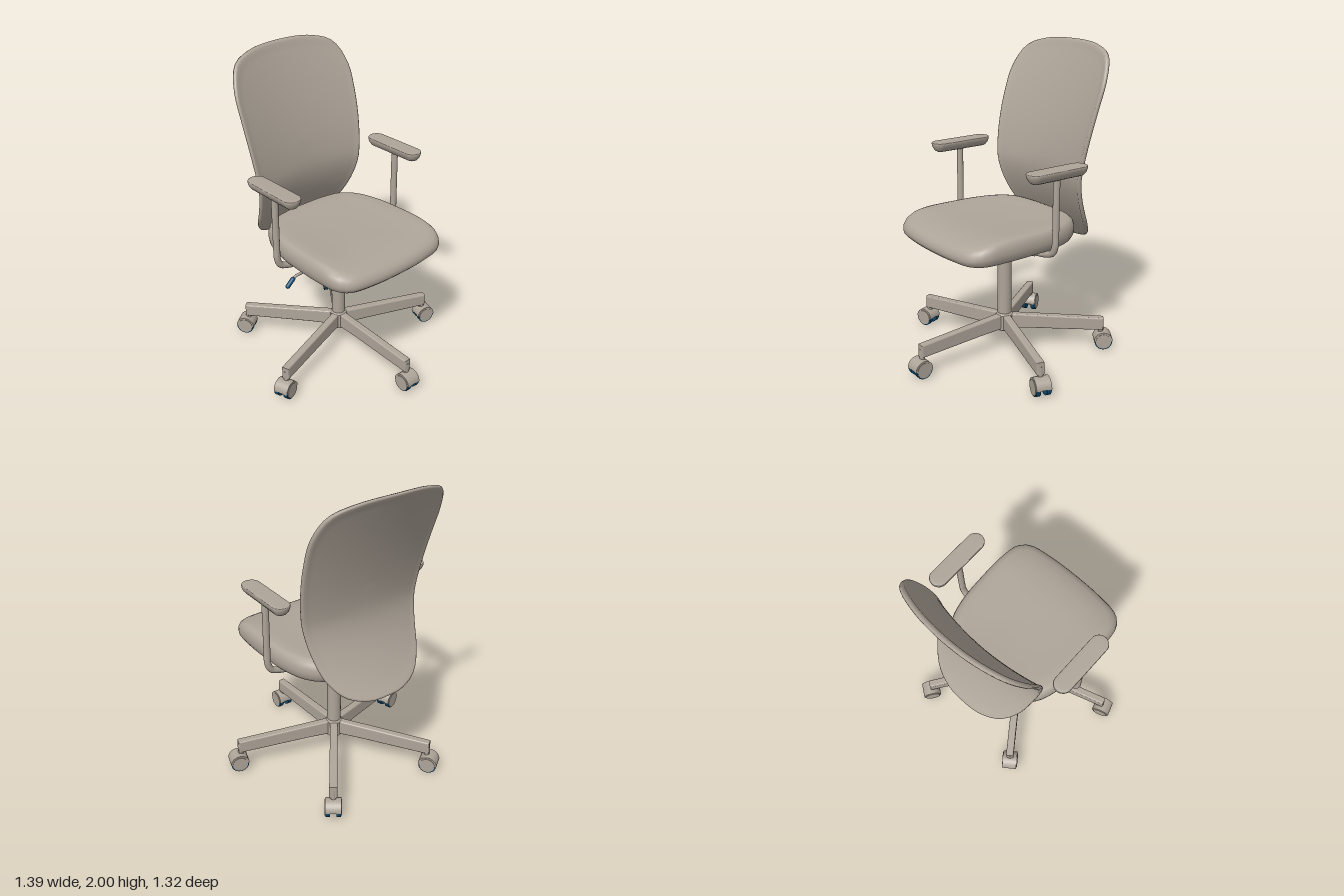
import * as THREE from 'three';

const body = new THREE.MeshStandardMaterial({ color: 0xaea599 });
body.name = 'warm grey';
const accent = new THREE.MeshStandardMaterial({ color: 0x0e4a72 });
accent.name = 'deep blue';

const V = (x, y, z) => new THREE.Vector3(x, y, z);

function add(parent, name, geometry, material = body, x = 0, y = 0, z = 0) {
  const mesh = new THREE.Mesh(geometry, material);
  mesh.name = name;
  mesh.position.set(x, y, z);
  parent.add(mesh);
  return mesh;
}

// Closed smooth outline from its right half, listed from lowest to highest b
function outline(half, n = 72) {
  const mirrored = half.filter(p => p[0] > 0).reverse().map(([a, b]) => [-a, b]);
  const pts = [...half, ...mirrored].map(([a, b]) => V(a, b, 0));
  return new THREE.CatmullRomCurve3(pts, true).getSpacedPoints(n).slice(0, n);
}

// Cushion-like solid: scaled copies of an outline stacked as [scale, height] layers
function loft(line, layers, centreB, map) {
  const n = line.length, pos = [], idx = [];
  layers.forEach(([s, c]) => line.forEach(p =>
    pos.push(...map(p.x * s, centreB + (p.y - centreB) * s, c))));
  for (let i = 0; i < layers.length - 1; i++) {
    for (let j = 0; j < n; j++) {
      const k = (j + 1) % n, a = i * n + j, b = i * n + k;
      idx.push(a, b, b + n, a, b + n, a + n);
    }
  }
  const g = new THREE.BufferGeometry();
  g.setAttribute('position', new THREE.Float32BufferAttribute(pos, 3));
  g.setIndex(idx);
  g.computeVertexNormals();
  return g;
}

const tube = (points, r, n = 40) =>
  new THREE.TubeGeometry(new THREE.CatmullRomCurve3(points), n, r, 14);

// Side profile in (u, y), extruded to a width centred on 0
function slab(points, width, bevel) {
  const shape = new THREE.Shape(points.map(p => new THREE.Vector2(...p)));
  return new THREE.ExtrudeGeometry(shape, {
    depth: width - 2 * bevel, bevelEnabled: true, bevelSize: bevel, bevelOffset: -bevel,
    bevelThickness: bevel, bevelSegments: 3,
  }).translate(0, 0, -width / 2 + bevel);
}

function makeBackrest(g) {
  const line = outline([[0, 0.72], [0.13, 0.727], [0.26, 0.775], [0.34, 0.87], [0.38, 1.0],
    [0.425, 1.3], [0.45, 1.62], [0.445, 1.8], [0.385, 1.93], [0.25, 1.983], [0, 2.0]], 88);
  // Leans back above the lumbar, flares back below it, sides wrap forward
  const depth = (x, y) => {
    const d = y - 1.2;
    const curve = d > 0 ? 0.342 * d ** 1.5 : 0.766 * (-d) ** 1.7;
    return -0.365 - curve + 0.05 * (x / 0.42) ** 2;
  };
  const face = [0, 0.1, 0.2, 0.3, 0.4, 0.5, 0.6, 0.7, 0.8, 0.88, 0.94];
  const layers = [...face.map(s => [s, -0.012]), [0.975, -0.017], [0.993, -0.011], [1, 0],
    [0.993, 0.011], [0.975, 0.017], ...face.slice().reverse().map(s => [s, 0.012])];
  add(g, 'backrest', loft(line, layers, 1.4, (x, y, c) => [x, y, depth(x, y) + c]));
}

function makeSeat(g) {
  const line = outline([[0, -0.515], [0.22, -0.505], [0.37, -0.475], [0.43, -0.41], [0.45, -0.27],
    [0.448, -0.05], [0.432, 0.13], [0.385, 0.28], [0.30, 0.375], [0.15, 0.41], [0, 0.415]]);
  // The cushion thins towards its front lip
  const map = (a, b, c) => {
    const t = Math.max(0, (-b - 0.22) / 0.3);
    return [a, 0.785 + (c - 0.785) * (1 - 0.42 * t * t), -b];
  };
  const layers = [[0, 0.797], [0.5, 0.797], [0.8, 0.797], [0.91, 0.8], [0.96, 0.81], [0.99, 0.835],
    [1, 0.865], [0.995, 0.895], [0.975, 0.922], [0.94, 0.938], [0.88, 0.946], [0.75, 0.943],
    [0.6, 0.938], [0.4, 0.934], [0.2, 0.932], [0, 0.932]];
  add(g, 'seatCushion', loft(line, layers, -0.05, map));
  add(g, 'seatPan', loft(line, [[0, 0.782], [0.66, 0.782], [0.7, 0.788], [0.71, 0.8]], -0.05,
    (a, b, c) => [a, c, -b]));
}

function makeMechanism(g) {
  const housing = slab([[0.24, 0.79], [0.24, 0.735], [0.17, 0.685], [0.0, 0.662], [-0.12, 0.675],
    [-0.16, 0.72], [-0.16, 0.79]], 0.23, 0.02);
  add(g, 'tiltHousing', housing.rotateY(-Math.PI / 2));
  const wing = slab([[-0.25, 0.79], [-0.24, 0.772], [-0.11, 0.725], [0.11, 0.725], [0.24, 0.772],
    [0.25, 0.79]], 0.22, 0.01);
  add(g, 'mountingWing', wing, body, 0, 0, 0.02);
  const tongue = slab([[-0.1, 0.77], [-0.24, 0.76], [-0.305, 0.745], [-0.31, 0.715],
    [-0.24, 0.695], [-0.1, 0.69]], 0.13, 0.012);
  add(g, 'rearTongue', tongue.rotateY(-Math.PI / 2));
  // Twin arms carrying the backrest
  for (const x of [-0.04, 0.04]) {
    add(g, 'backSupport', tube([V(x, 0.73, -0.25), V(x, 0.72, -0.32), V(x, 0.76, -0.38),
      V(x, 0.81, -0.43), V(x, 0.82, -0.5)], 0.016));
  }
  const clamp = add(g, 'backClamp', new THREE.BoxGeometry(0.2, 0.025, 0.1), body, 0, 0.79, -0.5);
  clamp.rotation.x = -0.75;
  // Height lever on the right-hand side
  add(g, 'leverRod', tube([V(-0.08, 0.7, -0.03), V(-0.2, 0.7, -0.03), V(-0.36, 0.7, -0.03),
    V(-0.385, 0.695, -0.03), V(-0.41, 0.675, -0.03)], 0.009));
  const grip = add(g, 'leverGrip', new THREE.CapsuleGeometry(0.015, 0.055, 6, 12), accent,
    -0.42, 0.667, -0.03);
  grip.rotation.z = -0.86;
}

function makeArm(g, side) {
  const arm = new THREE.Group();
  arm.name = side > 0 ? 'leftArm' : 'rightArm';
  // Stadium-shaped pad with tapered underside
  const pts = [];
  for (let i = 0; i < 48; i++) {
    const a = (i / 48) * Math.PI * 2, s = Math.sin(a);
    pts.push(V(0.058 * Math.cos(a), 0.058 * s + (Math.abs(s) < 1e-6 ? 0 : 0.16 * Math.sign(s)), 0));
  }
  // Inset by moving towards the pad's long axis so the ends stay round
  const layers = [[0, 1.27], [0.4, 1.27], [0.62, 1.277], [0.86, 1.295], [0.97, 1.312], [1, 1.322],
    [0.99, 1.328], [0.95, 1.331], [0.6, 1.332], [0, 1.332]];
  const pad = loft(pts, layers, 0, (a, b, c) => [a, c, -b]);
  const p = pad.attributes.position;
  const scaleOf = new Map(layers.map(([s], i) => [i, s]));
  for (let i = 0; i < p.count; i++) {
    const s = scaleOf.get(Math.floor(i / pts.length)), q = pts[i % pts.length];
    p.setZ(i, -(q.y - Math.sign(q.y) * 0.058 * (1 - s) * Math.abs(Math.sin((i % 48) / 48 * Math.PI * 2))));
  }
  pad.computeVertexNormals();
  add(arm, 'armPad', pad, body, side * 0.493, 0, -0.06);
  const path = [[0.495, 1.28], [0.495, 1.1], [0.495, 0.93], [0.493, 0.86], [0.47, 0.81], [0.42, 0.788],
    [0.36, 0.776], [0.26, 0.766]];
  add(arm, 'armPost', tube(path.map(([x, y]) => V(side * x, y, -0.055)), 0.021, 64));
  const bracket = add(arm, 'armBracket', new THREE.BoxGeometry(0.12, 0.036, 0.08), body,
    side * 0.29, 0.772, -0.055);
  bracket.rotation.z = side * 0.14;
  g.add(arm);
}

function makeCaster() {
  const c = new THREE.Group();
  c.name = 'caster';
  const disc = (r, w, ...arc) => new THREE.CylinderGeometry(r, r, w, 28, 1, false, ...arc).rotateX(Math.PI / 2);
  add(c, 'casterHood', disc(0.061, 0.098, Math.PI / 2, Math.PI));
  add(c, 'casterAxle', disc(0.03, 0.06));
  for (const s of [-1, 1]) {
    add(c, 'wheelTread', disc(0.058, 0.028), accent, 0, 0, s * 0.034);
    add(c, 'wheelCap', disc(0.05, 0.008), body, 0, 0, s * 0.0485);
  }
  add(c, 'casterStem', new THREE.CylinderGeometry(0.018, 0.018, 0.1, 16), body, -0.015, 0.075, 0);
  return c;
}

function makeBase(g) {
  const base = new THREE.Group();
  base.name = 'base';
  base.position.z = -0.055;
  // Hub, gas column and neck turned as one profile each
  const turned = pts => new THREE.LatheGeometry(pts.map(q => new THREE.Vector2(...q)), 32);
  add(base, 'hub', turned([[0, 0.14], [0.05, 0.14], [0.055, 0.145], [0.055, 0.145], [0.055, 0.245],
    [0.055, 0.245], [0.045, 0.26], [0, 0.26]]));
  add(base, 'gasColumn', new THREE.CylinderGeometry(0.045, 0.045, 0.4, 32), body, 0, 0.44, 0);
  add(base, 'columnNeck', new THREE.CylinderGeometry(0.028, 0.028, 0.06, 24), body, 0, 0.66, 0);
  const profile = [[0.01, 0.15], [0.2, 0.147], [0.655, 0.128], [0.655, 0.213], [0.01, 0.252]];
  for (let k = 0; k < 5; k++) {
    const leg = new THREE.Group();
    leg.name = 'leg';
    leg.rotation.y = -Math.PI / 2 + (k * Math.PI * 2) / 5;
    add(leg, 'legBeam', slab(profile, 0.05, 0.009));
    const caster = makeCaster();
    caster.position.set(0.655, 0.058, 0);
    leg.add(caster);
    base.add(leg);
  }
  g.add(base);
}

export function createModel() {
  const g = new THREE.Group();
  g.name = 'officeChair';
  makeBackrest(g);
  makeSeat(g);
  makeMechanism(g);
  makeArm(g, 1);
  makeArm(g, -1);
  makeBase(g);
  return g;
}
